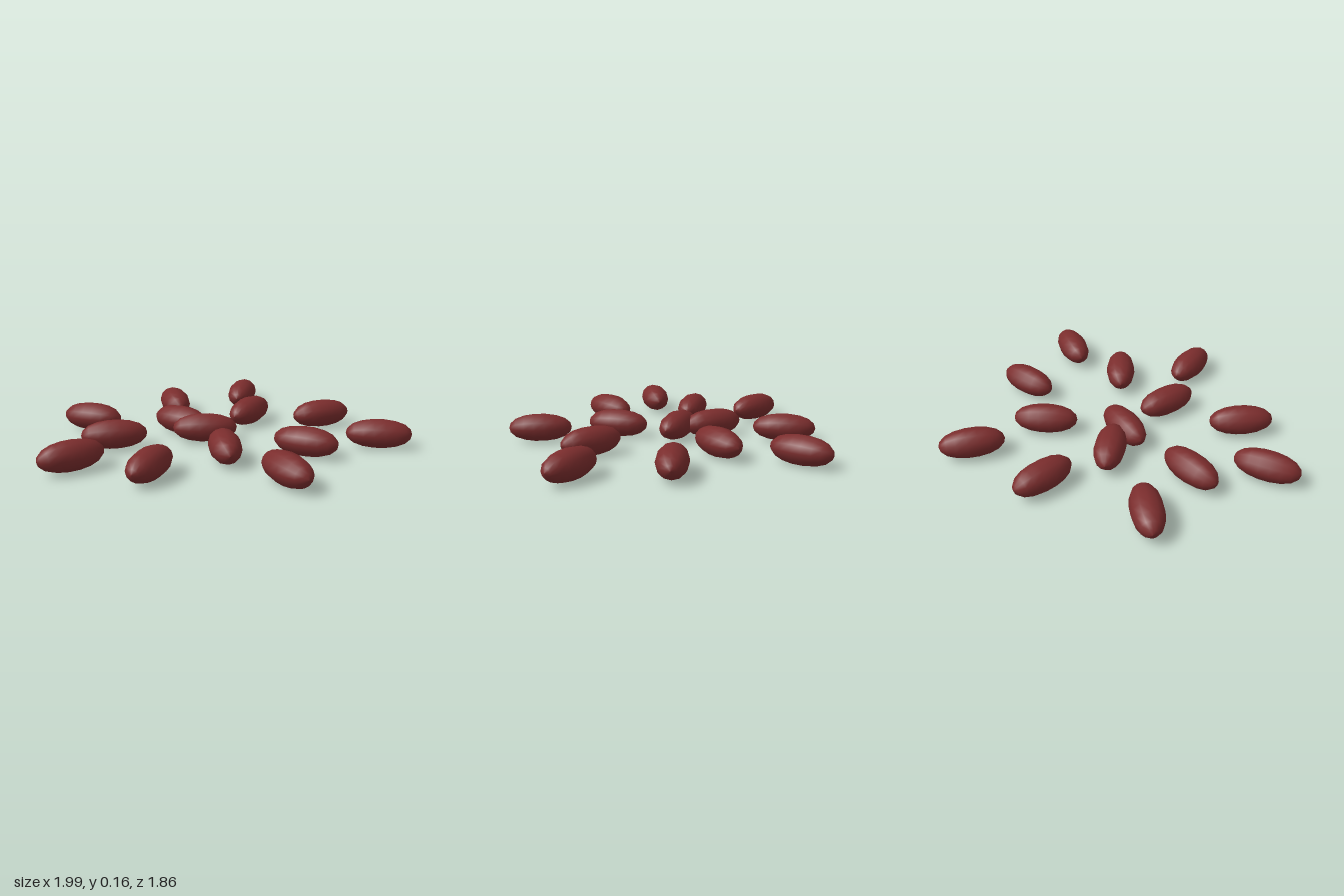
import * as THREE from 'three';

// One bean: a low-sided oval turned about its long axis, with small blunt tips
function beanGeometry() {
  const half = [[0.03, 0.086], [0.09, 0.077], [0.14, 0.058], [0.172, 0.029], [0.181, 0]];
  const points = [
    ...half.slice().reverse().map(([x, r]) => new THREE.Vector2(r, -x)),
    ...half.map(([x, r]) => new THREE.Vector2(r, x)),
  ];
  const geometry = new THREE.LatheGeometry(points, 12);
  geometry.rotateZ(-Math.PI / 2); // long axis along x
  geometry.scale(1, 0.94, 1); // slightly flattened
  geometry.computeBoundingBox();
  geometry.translate(0, -geometry.boundingBox.min.y + 0.003, 0);
  return geometry;
}

export function createModel() {
  const model = new THREE.Group();
  model.name = 'scatteredBeans';
  const beanRed = new THREE.MeshStandardMaterial({ color: 0x7b2d2d });
  beanRed.name = 'beanRed';
  const geometry = beanGeometry();

  // x, z, heading in degrees from +x towards +z
  const layout = [
    [0.155, -0.76, -73], [-0.3, -0.563, 79], [-0.795, -0.25, 25], [-0.27, -0.135, 41],
    [-0.14, 0.04, 2], [-0.645, 0.128, -7], [-0.84, 0.478, -32], [-0.443, 0.633, -63],
    [-0.055, 0.39, 86], [0.213, 0.763, 65], [0.382, 0.345, 32], [0.81, 0.24, 11],
    [0.577, -0.205, -18], [0.152, -0.307, -54],
  ];
  layout.forEach(([x, z, degrees], i) => {
    const bean = new THREE.Mesh(geometry, beanRed);
    bean.name = `bean${i + 1}`;
    bean.position.set(x, 0, z);
    bean.rotation.y = -THREE.MathUtils.degToRad(degrees);
    model.add(bean);
  });
  return model;
}
